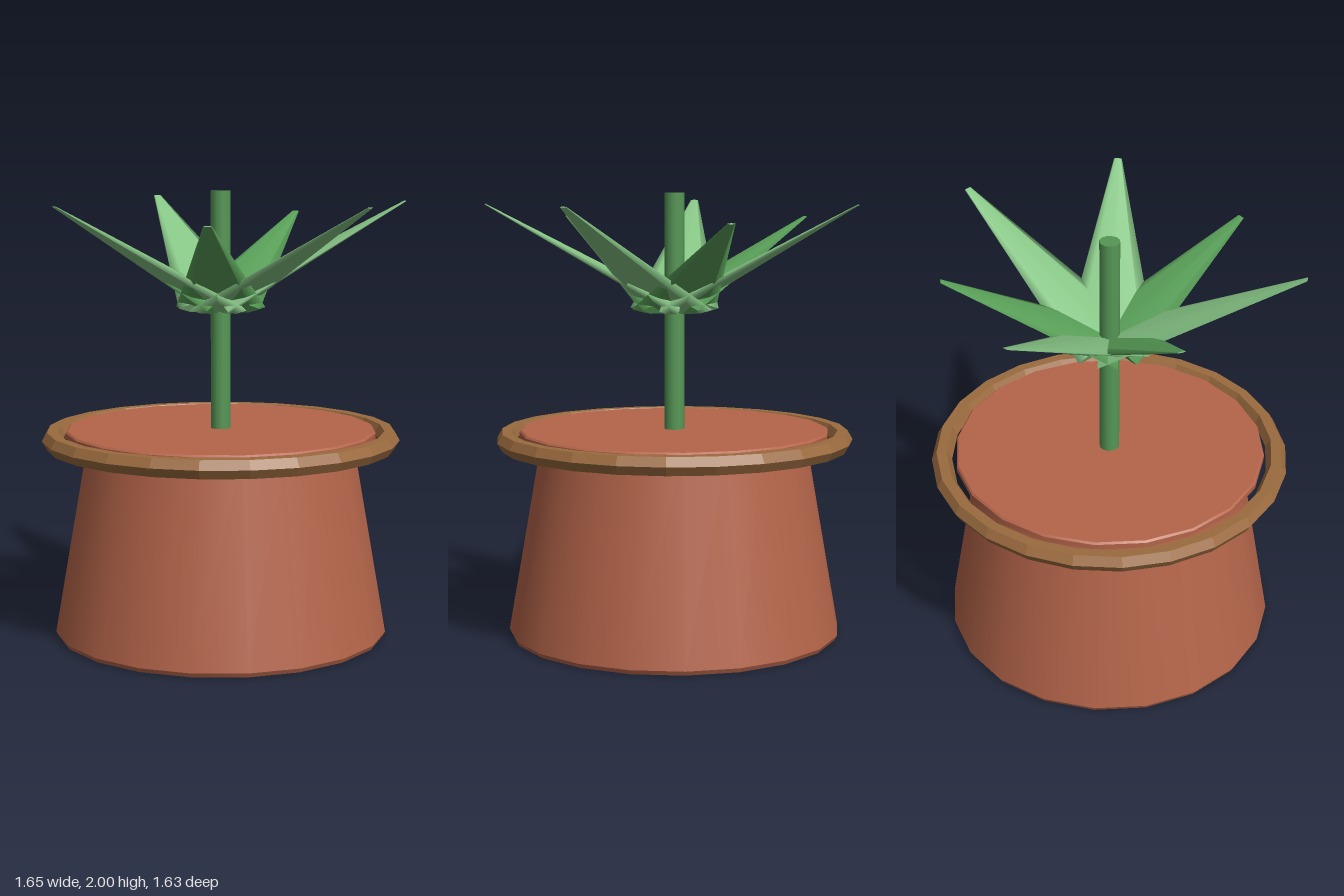
import * as THREE from 'three';

const mat = (name, color) => {
  const m = new THREE.MeshStandardMaterial({ color });
  m.name = name;
  return m;
};

export function createModel() {
  const terracotta = mat('terracotta', 0xb5654a);
  const wood = mat('brown rim', 0x9b6b3f);
  const stemGreen = mat('stem green', 0x569756);
  const paleGreen = mat('pale leaf green', 0x86c585);
  const midGreen = mat('mid leaf green', 0x5ba35a);

  const plant = new THREE.Group();
  plant.name = 'pottedPlant';
  plant.position.set(-0.02, 0, 0.01);

  const add = (name, geometry, material, y = 0, parent = plant) => {
    const mesh = new THREE.Mesh(geometry, material);
    mesh.name = name;
    mesh.position.y = y;
    parent.add(mesh);
    return mesh;
  };
  // Round section between two heights
  const ring = (name, rTop, rBottom, y0, y1, material, sides = 20, open = false) =>
    add(name, new THREE.CylinderGeometry(rTop, rBottom, y1 - y0, sides, 1, open), material, (y0 + y1) / 2);

  // Pot: bevelled foot, tapering wall and overhanging top disc
  ring('potFoot', 0.755, 0.745, 0, 0.02, terracotta);
  ring('potWall', 0.598, 0.755, 0.02, 0.91, terracotta, 20, true);
  ring('potTop', 0.70, 0.70, 0.905, 0.93, terracotta);
  ring('potTopBevel', 0.692, 0.70, 0.93, 0.938, terracotta);

  // Faceted rim, hexagonal in section
  const rimShape = new THREE.TorusGeometry(0.76, 0.046, 6, 24).rotateX(-Math.PI / 2).toNonIndexed();
  rimShape.computeVertexNormals();
  add('rim', rimShape, wood, 0.895);

  ring('stem', 0.045, 0.045, 0.93, 2, stemGreen, 12);

  // Flattened tapering leaves, alternately long and short
  const leaves = new THREE.Group();
  leaves.name = 'leaves';
  leaves.position.y = 1.485;
  plant.add(leaves);
  const tilt = THREE.MathUtils.degToRad(29);
  for (let i = 0; i < 7; i++) {
    const long = i % 2 === 0;
    const length = long ? 0.96 : 0.82;
    const leaf = new THREE.CylinderGeometry(0.018, 0.2, length, 8)
      .translate(0, length / 2, 0)
      .scale(0.15, 1, 1)
      .rotateZ(tilt - Math.PI / 2)
      .rotateY((i * Math.PI * 2) / 7);
    add(long ? 'longLeaf' : 'shortLeaf', leaf, long ? paleGreen : midGreen, 0, leaves);
  }

  const model = new THREE.Group();
  model.name = 'model';
  model.add(plant);
  return model;
}
